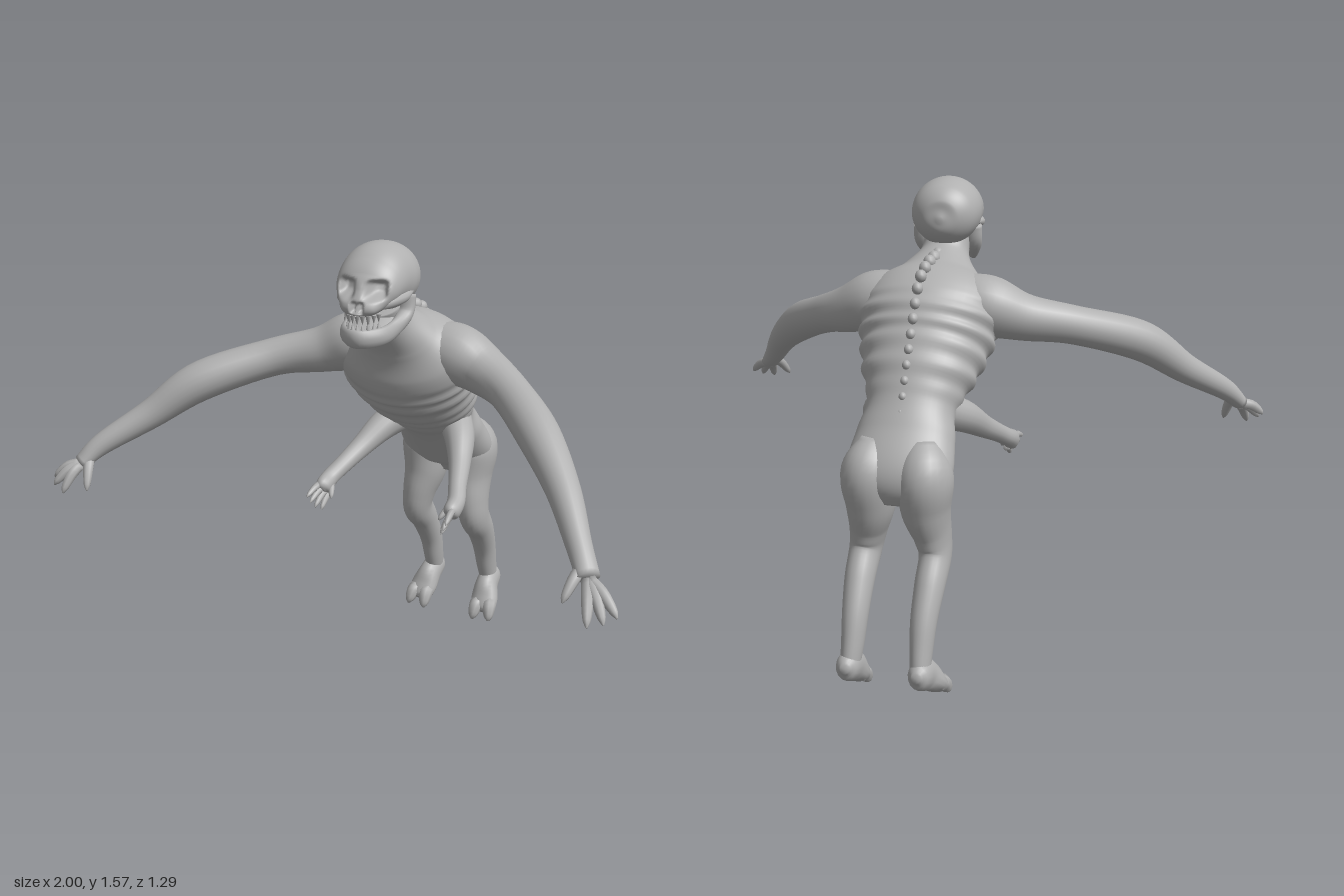
import * as THREE from 'three';

const C = 0.05; // the body's midline sits slightly to its left

const skin = new THREE.MeshStandardMaterial({ color: 0xb0b0b0 });
skin.name = 'grey skin';

// Smooth skin over elliptical sections [x, y, z, width radius, depth radius].
// ref is the width direction; shape(point, t, angle) returns a radial scale.
function loft(name, nodes, { ref = [1, 0, 0], rings = 24, sides = 16, scale, warp } = {}) {
  const path = new THREE.CatmullRomCurve3(nodes.map(n => new THREE.Vector3(n[0], n[1], n[2])), false, 'catmullrom');
  const radii = new THREE.CatmullRomCurve3(nodes.map(n => new THREE.Vector3(n[3], n[4] ?? n[3], 0)), false, 'catmullrom');
  const pos = [], index = [];
  const W = new THREE.Vector3(), D = new THREE.Vector3(), p = new THREE.Vector3();
  for (let i = 0; i <= rings; i++) {
    const t = i / rings, c = path.getPoint(t), r = radii.getPoint(t), T = path.getTangent(t);
    W.set(...ref).addScaledVector(T, -T.dot(W.set(...ref))).normalize();
    D.crossVectors(T, W);
    for (let j = 0; j < sides; j++) {
      const a = j / sides * Math.PI * 2, s = scale ? scale(t, a) : 1;
      p.copy(c).addScaledVector(W, Math.cos(a) * r.x * s).addScaledVector(D, Math.sin(a) * r.y * s);
      if (warp) warp(p);
      pos.push(p.x, p.y, p.z);
      if (i < rings) {
        const k = (j + 1) % sides, q = i * sides, u = q + sides;
        index.push(q + j, q + k, u + k, q + j, u + k, u + j);
      }
    }
  }
  // close both ends
  const first = path.getPoint(0), last = path.getPoint(1), n = (rings + 1) * sides;
  pos.push(...first.toArray(), ...last.toArray());
  for (let j = 0; j < sides; j++) {
    const k = (j + 1) % sides, e = rings * sides;
    index.push(n, k, j, n + 1, e + j, e + k);
  }
  const g = new THREE.BufferGeometry();
  g.setAttribute('position', new THREE.Float32BufferAttribute(pos, 3));
  g.setIndex(index);
  g.computeVertexNormals();
  const m = new THREE.Mesh(g, skin);
  m.name = name;
  return m;
}

// Tapered digit, arched slightly upwards
function digit(name, a, b, r) {
  const mid = (f, lift) => a.map((v, i) => v + (b[i] - v) * f + (i === 1 ? lift : 0));
  return loft(name, [[...a, r], [...mid(0.45, r * 0.6), r * 0.95], [...mid(0.85, r * 0.3), r * 0.65], [...b, r * 0.15]],
    { ref: [0.3, 0.2, 1], rings: 10, sides: 8 });
}

function makeTorso() {
  const g = new THREE.Group();
  g.name = 'torso';
  const bump = (v, lo, hi) => THREE.MathUtils.smoothstep(v, lo, lo + 0.1) * (1 - THREE.MathUtils.smoothstep(v, hi - 0.1, hi));
  g.add(loft('ribbedTrunk', [
    [C, 0.63, -0.46, 0.06, 0.04], [C, 0.71, -0.44, 0.165, 0.09], [C, 0.82, -0.355, 0.16, 0.1],
    [C, 0.895, -0.295, 0.145, 0.11], [C, 0.985, -0.22, 0.185, 0.14], [C, 1.065, -0.145, 0.215, 0.165],
    [C, 1.14, -0.085, 0.235, 0.175], [C, 1.205, -0.03, 0.22, 0.15], [C, 1.26, 0.025, 0.14, 0.1],
    [C, 1.32, 0.085, 0.085, 0.075], [C, 1.39, 0.13, 0.075, 0.065],
  ], {
    rings: 110, sides: 48,
    scale: (t, a) => {
      const ribs = 0.032 * bump(t, 0.28, 0.66) * Math.sin(t * 100 + Math.sin(a) * 0.9) * (1 - 0.6 * Math.max(0, Math.sin(a)) ** 4);
      return 1 + ribs;
    },
  }));
  // row of vertebrae down the back
  const spine = new THREE.CatmullRomCurve3([[1.335, 0.01], [1.325, -0.1], [1.285, -0.2], [1.2, -0.255],
    [1.1, -0.31], [1.01, -0.355], [0.91, -0.4]].map(([y, z]) => new THREE.Vector3(C, y, z)));
  for (let i = 0; i < 14; i++) {
    const v = new THREE.Mesh(new THREE.SphereGeometry(1, 12, 8), skin);
    v.name = 'vertebra';
    v.position.copy(spine.getPointAt(i / 13));
    const s = 1 - i * 0.035;
    v.scale.set(0.022 * s, 0.024 * s, 0.024 * s);
    g.add(v);
  }
  return g;
}

function makeHead() {
  const g = new THREE.Group();
  g.name = 'head';
  // hollows: [x, y, width, height, depth]
  const hollows = [[0.048, 1.462, 0.026, 0.024, 0.05], [-0.048, 1.462, 0.026, 0.024, 0.05],
    [0.011, 1.412, 0.009, 0.016, 0.025], [-0.011, 1.412, 0.009, 0.016, 0.025]];
  g.add(loft('skull', [
    [0, 1.45, -0.015, 0.008, 0.008], [0, 1.45, 0, 0.06, 0.06], [0, 1.455, 0.04, 0.1, 0.095],
    [0, 1.465, 0.1, 0.115, 0.108], [0, 1.47, 0.155, 0.113, 0.106], [0, 1.462, 0.2, 0.108, 0.09],
    [0, 1.445, 0.237, 0.098, 0.07], [0, 1.423, 0.272, 0.076, 0.048], [0, 1.403, 0.308, 0.052, 0.024],
    [0, 1.395, 0.322, 0.01, 0.006],
  ], {
    rings: 90, sides: 64,
    warp: p => {
      if (p.z < 0.14) return;
      let push = 0;
      for (const [x, y, w, h, d] of hollows) push += d * Math.exp(-(((p.x - x) / w) ** 4) - ((p.y - y) / h) ** 4);
      p.z -= push;
    },
  }));
  // horseshoe jaw, with the throat filling its floor
  const side = [[0.088, 1.42, 0.12, 0.022, 0.028], [0.086, 1.36, 0.135, 0.022, 0.028], [0.074, 1.325, 0.2, 0.028, 0.018],
    [0.055, 1.317, 0.27, 0.029, 0.018]];
  const mirror = side.map(([x, ...rest]) => [-x, ...rest]).reverse();
  g.add(loft('lowerJaw', [...side, [0, 1.315, 0.313, 0.03, 0.018], ...mirror], { ref: [0, 1, 0.1], rings: 50, sides: 14 }));
  g.add(loft('jawFloor', [[0, 1.35, 0.08, 0.06, 0.045], [0, 1.335, 0.15, 0.075, 0.03], [0, 1.315, 0.23, 0.062, 0.018],
    [0, 1.308, 0.305, 0.03, 0.014]]));
  // cheekbones and brow ridge
  for (const s of [-1, 1]) {
    g.add(loft('cheekbone', [[s * 0.103, 1.43, 0.12, 0.006], [s * 0.1, 1.425, 0.18, 0.016], [s * 0.078, 1.42, 0.235, 0.018],
      [s * 0.045, 1.405, 0.275, 0.008]], { ref: [0, 1, 0], sides: 10 }));
    g.add(loft('brow', [[s * 0.095, 1.475, 0.19, 0.006], [s * 0.075, 1.5, 0.21, 0.014], [s * 0.04, 1.503, 0.226, 0.014],
      [0, 1.485, 0.236, 0.01]], { ref: [0, 1, 0], sides: 10 }));
  }
  g.add(loft('noseBridge', [[0, 1.49, 0.225, 0.016], [0, 1.45, 0.258, 0.013], [0, 1.425, 0.285, 0.01], [0, 1.41, 0.3, 0.003]],
    { sides: 10 }));
  // teeth around both jaws
  for (let i = -4; i <= 4; i++) {
    const a = i * 0.3, fang = Math.abs(i) === 2 ? 1.5 : 1;
    for (const upper of [true, false]) {
      const len = 0.028 * fang;
      const tooth = new THREE.Mesh(new THREE.ConeGeometry(0.0085, len, 8), skin);
      tooth.name = upper ? 'upperTooth' : 'lowerTooth';
      tooth.position.set(Math.sin(a) * 0.054, upper ? 1.387 - len / 2 : 1.338 + len / 2, 0.235 + Math.cos(a) * 0.076);
      if (upper) tooth.rotation.x = Math.PI;
      g.add(tooth);
    }
  }
  // turned a little to its left about the neck
  g.position.x = C - 0.01;
  g.rotation.y = 0.08;
  return g;
}

function makeArm(side, nodes, palm, tips, thumb) {
  const g = new THREE.Group();
  g.name = side + 'Arm';
  g.add(loft('arm', [...nodes, [...palm, 0.025, 0.035]], { ref: [0, 1, 0], rings: 50, sides: 20 }));
  tips.forEach(t => g.add(digit('finger', palm.map((v, i) => v + (t[i] - v) * 0.08), t, 0.019)));
  const wrist = nodes[nodes.length - 1];
  g.add(digit('thumb', palm.map((v, i) => v * 0.6 + wrist[i] * 0.4), thumb, 0.019));
  return g;
}

// Small arm reaching forward from the waist
function makeSmallArm(s) {
  const g = new THREE.Group();
  g.name = s > 0 ? 'leftSmallArm' : 'rightSmallArm';
  const X = d => C + s * d;
  g.add(loft('smallArm', [[X(0.09), 0.89, -0.27, 0.06], [X(0.145), 0.85, -0.19, 0.052], [X(0.185), 0.795, -0.1, 0.038],
    [X(0.215), 0.75, -0.015, 0.031], [X(0.235), 0.72, 0.04, 0.03], [X(0.238), 0.7, 0.085, 0.027, 0.034],
    [X(0.238), 0.69, 0.1, 0.012, 0.018]], { rings: 36 }));
  [[0.255, 0.69, 0.168], [0.245, 0.67, 0.165], [0.235, 0.65, 0.15], [0.222, 0.636, 0.13]].forEach(([d, y, z], i) =>
    g.add(digit('smallFinger', [X(0.245 - i * 0.006), 0.712 - i * 0.011, 0.08 - i * 0.008], [X(d), y, z], 0.012)));
  g.add(digit('smallThumb', [X(0.225), 0.705, 0.05], [X(0.2), 0.67, 0.1], 0.012));
  return g;
}

function makeLeg(s) {
  const g = new THREE.Group();
  g.name = s > 0 ? 'leftLeg' : 'rightLeg';
  const X = d => C + s * d;
  g.add(loft('leg', [[X(0.075), 0.82, -0.41, 0.05, 0.05], [X(0.09), 0.73, -0.445, 0.088, 0.095], [X(0.09), 0.62, -0.435, 0.078, 0.088],
    [X(0.105), 0.53, -0.415, 0.06, 0.076], [X(0.115), 0.46, -0.42, 0.051, 0.068], [X(0.115), 0.385, -0.48, 0.048, 0.055],
    [X(0.112), 0.29, -0.535, 0.042, 0.047], [X(0.112), 0.2, -0.565, 0.036, 0.045], [X(0.115), 0.12, -0.59, 0.03, 0.04]],
    { rings: 50, sides: 24 }));
  g.add(loft('foot', [[X(0.115), 0.14, -0.638, 0.014, 0.014], [X(0.117), 0.135, -0.61, 0.036, 0.044],
    [X(0.12), 0.115, -0.555, 0.042, 0.052], [X(0.128), 0.075, -0.515, 0.052, 0.036], [X(0.134), 0.045, -0.487, 0.045, 0.023],
    [X(0.134), 0.035, -0.477, 0.02, 0.01]]));
  g.add(digit('innerToe', [X(0.11), 0.065, -0.51], [X(0.103), 0.008, -0.452], 0.028));
  g.add(digit('outerToe', [X(0.152), 0.068, -0.51], [X(0.168), 0.012, -0.455], 0.027));
  return g;
}

export function createModel() {
  const model = new THREE.Group();
  model.name = 'creature';
  model.add(makeTorso(), makeHead());
  model.add(makeArm('right', [[-0.04, 1.2, -0.06, 0.09], [-0.14, 1.185, -0.055, 0.1], [-0.25, 1.15, -0.025, 0.077],
    [-0.4, 1.12, 0.04, 0.064], [-0.6, 1.048, 0.185, 0.067], [-0.74, 0.94, 0.285, 0.05], [-0.865, 0.85, 0.395, 0.037]],
    [-0.92, 0.79, 0.45], [[-1, 0.74, 0.495], [-0.985, 0.722, 0.52], [-0.945, 0.702, 0.528]], [-0.865, 0.715, 0.5]));
  model.add(makeArm('left', [[0.14, 1.2, -0.07, 0.09], [0.24, 1.185, -0.065, 0.1], [0.34, 1.15, -0.045, 0.08],
    [0.45, 1.115, 0.02, 0.066], [0.6, 1.05, 0.165, 0.067], [0.735, 0.955, 0.315, 0.052], [0.835, 0.855, 0.45, 0.038]],
    [0.89, 0.8, 0.525], [[1, 0.735, 0.6], [0.97, 0.72, 0.625], [0.93, 0.712, 0.645]], [0.84, 0.74, 0.59]));
  for (const s of [-1, 1]) model.add(makeSmallArm(s), makeLeg(s));
  return model;
}
